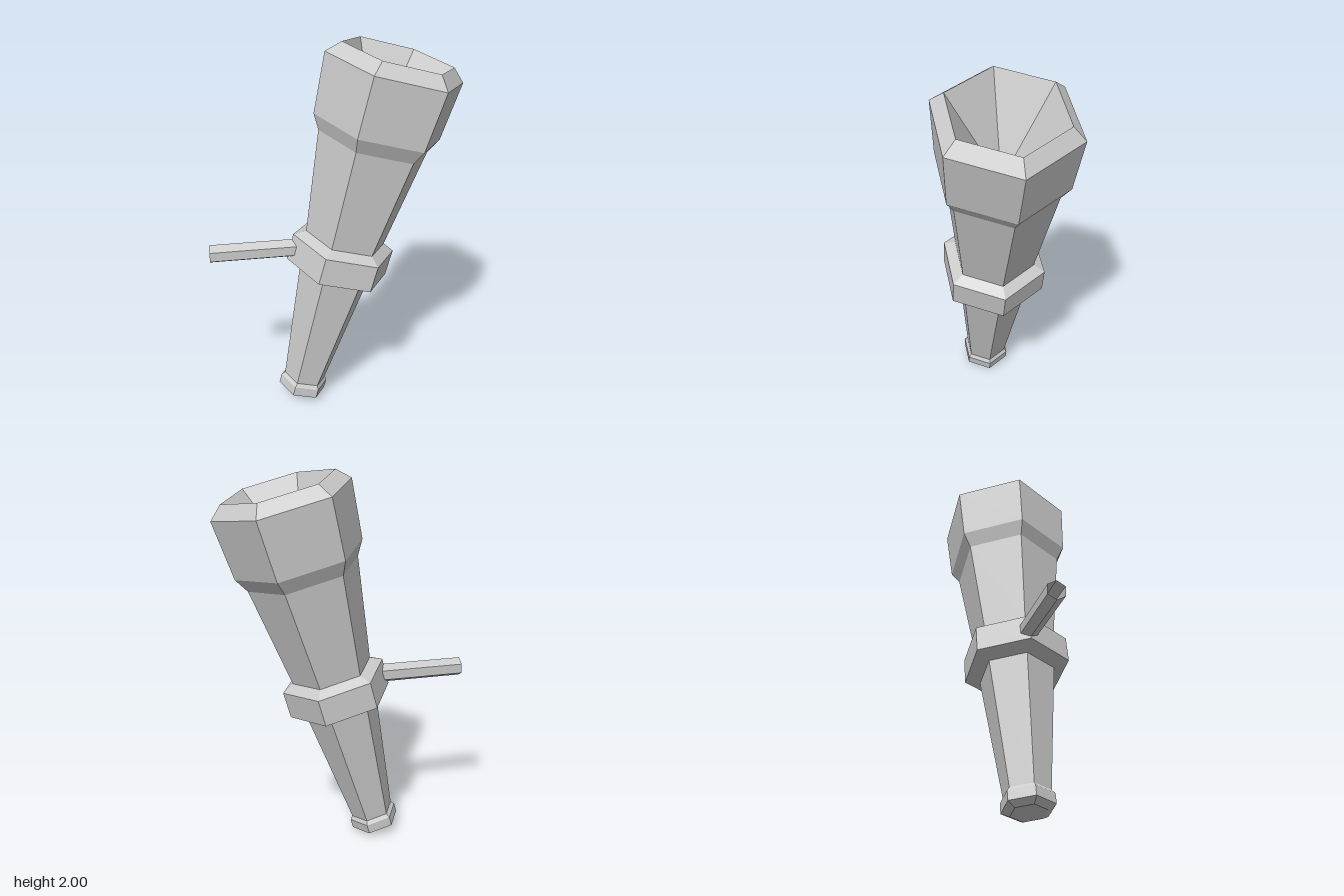
import * as THREE from 'three';

const material = new THREE.MeshStandardMaterial({ color: 0xcccccc, flatShading: true });
const openMaterial = new THREE.MeshStandardMaterial({ color: 0xcccccc, flatShading: true, side: THREE.DoubleSide });

// Six-sided section turned around the torch axis; profile is [radius, height], bottom to top
function hexSection(name, profile) {
  const points = profile.map(([r, h]) => new THREE.Vector2(r, h));
  const mesh = new THREE.Mesh(new THREE.LatheGeometry(points, 6, Math.PI / 2), material);
  mesh.name = name;
  return mesh;
}

export function createModel() {
  const model = new THREE.Group();
  model.name = 'wallTorch';

  // Torch body, leaning away from its bracket
  const torch = new THREE.Group();
  torch.name = 'torch';
  torch.position.set(-0.185, 0.045, 0);
  torch.rotation.z = -Math.PI / 12;
  torch.add(
    hexSection('pommel', [[0, -0.022], [0.09, -0.022], [0.132, 0], [0.132, 0.052], [0.116, 0.072]]),
    hexSection('handle', [[0.116, 0.072], [0.197, 0.752]]),
    hexSection('holderRing', [[0.197, 0.752], [0.277, 0.779], [0.277, 0.923], [0.215, 0.956]]),
    hexSection('neck', [[0.215, 0.956], [0.29, 1.5]]),
    hexSection('head', [[0.29, 1.5], [0.334, 1.576], [0.358, 1.882], [0.29, 1.945]]),
    // Hollow inside of the head, sloping down to a point
    hexSection('bowl', [[0.29, 1.945], [0, 1.506]])
  );
  model.add(torch);

  // Level bracket rod joining the ring to the wall, open at the ends
  const rodLength = 0.48;
  const rodGeometry = new THREE.CylinderGeometry(0.05, 0.05, rodLength, 6, 1, true);
  rodGeometry.rotateY(Math.PI / 2).rotateZ(Math.PI / 2);
  const rod = new THREE.Mesh(rodGeometry, openMaterial);
  rod.name = 'bracketRod';
  rod.position.set(-0.65 + rodLength / 2, 0.93, 0);
  model.add(rod);

  return model;
}
